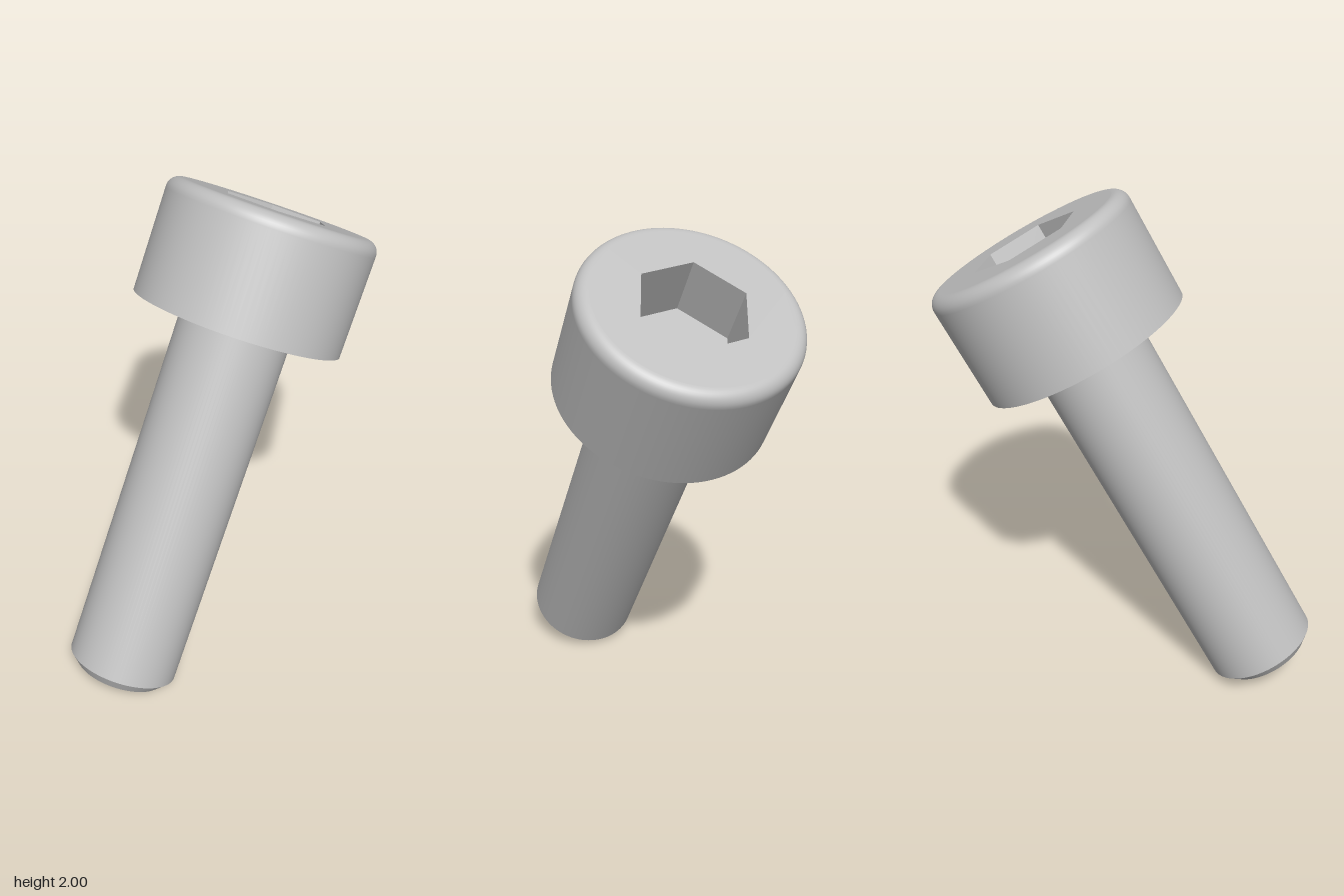
import * as THREE from 'three';

const SEG = 96;
const HEAD_R = 0.417, HEAD_H = 0.455, FILLET = 0.05;
const SHANK_R = 0.223, SHANK_L = 1.525, TIP_R = 0.182, CHAMFER = 0.042;
const HEX_R = 0.2177, HEX_DEPTH = 0.23;

export function createModel() {
  const steel = new THREE.MeshStandardMaterial({ color: 0xbfbfbf });
  steel.name = 'steel grey';

  // The screw is built upright, with the underside of the head at y = 0
  const screw = new THREE.Group();
  screw.name = 'socketHeadScrew';
  const add = (name, geometry) => {
    const mesh = new THREE.Mesh(geometry, steel);
    mesh.name = name;
    screw.add(mesh);
  };
  // Separate profiles keep the edges between surfaces sharp
  const turned = (name, ...points) =>
    add(name, new THREE.LatheGeometry(points.map(([r, y]) => new THREE.Vector2(r, y)), SEG));

  // Threadless shank with chamfered tip
  turned('tipFace', [0, -SHANK_L], [TIP_R, -SHANK_L]);
  turned('tipChamfer', [TIP_R, -SHANK_L], [SHANK_R, -SHANK_L + CHAMFER]);
  turned('shank', [SHANK_R, -SHANK_L + CHAMFER], [SHANK_R, 0]);

  // Head: flat underside, straight wall and rounded top rim
  turned('headUnderside', [SHANK_R, 0], [HEAD_R, 0]);
  const wall = [[HEAD_R, 0], [HEAD_R, HEAD_H - FILLET - 0.004]];
  for (let i = 0; i <= 10; i++) {
    const a = (i / 10) * Math.PI / 2;
    wall.push([HEAD_R - FILLET + FILLET * Math.cos(a), HEAD_H - FILLET + FILLET * Math.sin(a)]);
  }
  turned('headWall', ...wall);

  // Top face with hexagonal opening
  const face = new THREE.Shape().absarc(0, 0, HEAD_R - FILLET, 0, Math.PI * 2);
  const hex = [];
  for (let i = 0; i < 6; i++) {
    const a = -i * Math.PI / 3;
    hex.push(new THREE.Vector2(HEX_R * Math.cos(a), HEX_R * Math.sin(a)));
  }
  face.holes.push(new THREE.Path(hex));
  add('headTop', new THREE.ShapeGeometry(face, SEG).rotateX(-Math.PI / 2).translate(0, HEAD_H, 0));

  // Hex socket: inward-facing walls (mirrored to turn the faces) and floor
  const socket = new THREE.CylinderGeometry(HEX_R, HEX_R, HEX_DEPTH, 6, 1, true, Math.PI / 6)
    .scale(-1, 1, 1).toNonIndexed();
  socket.computeVertexNormals();
  add('socketWalls', socket.translate(0, HEAD_H - HEX_DEPTH / 2, 0));
  add('socketFloor', new THREE.CircleGeometry(HEX_R, 6)
    .rotateX(-Math.PI / 2).translate(0, HEAD_H - HEX_DEPTH, 0));

  // Lean the screw backwards and slightly sideways
  const axis = new THREE.Vector3(0.055, 0.868, -0.4935).normalize();
  const side = new THREE.Vector3(1, -0.044, 0.034);
  side.addScaledVector(axis, -side.dot(axis)).normalize();
  const front = new THREE.Vector3().crossVectors(side, axis);
  screw.quaternion.setFromRotationMatrix(new THREE.Matrix4().makeBasis(side, axis, front));
  screw.position.set(-0.0125, 1.414, -0.181);

  const model = new THREE.Group();
  model.name = 'model';
  model.add(screw);
  return model;
}
